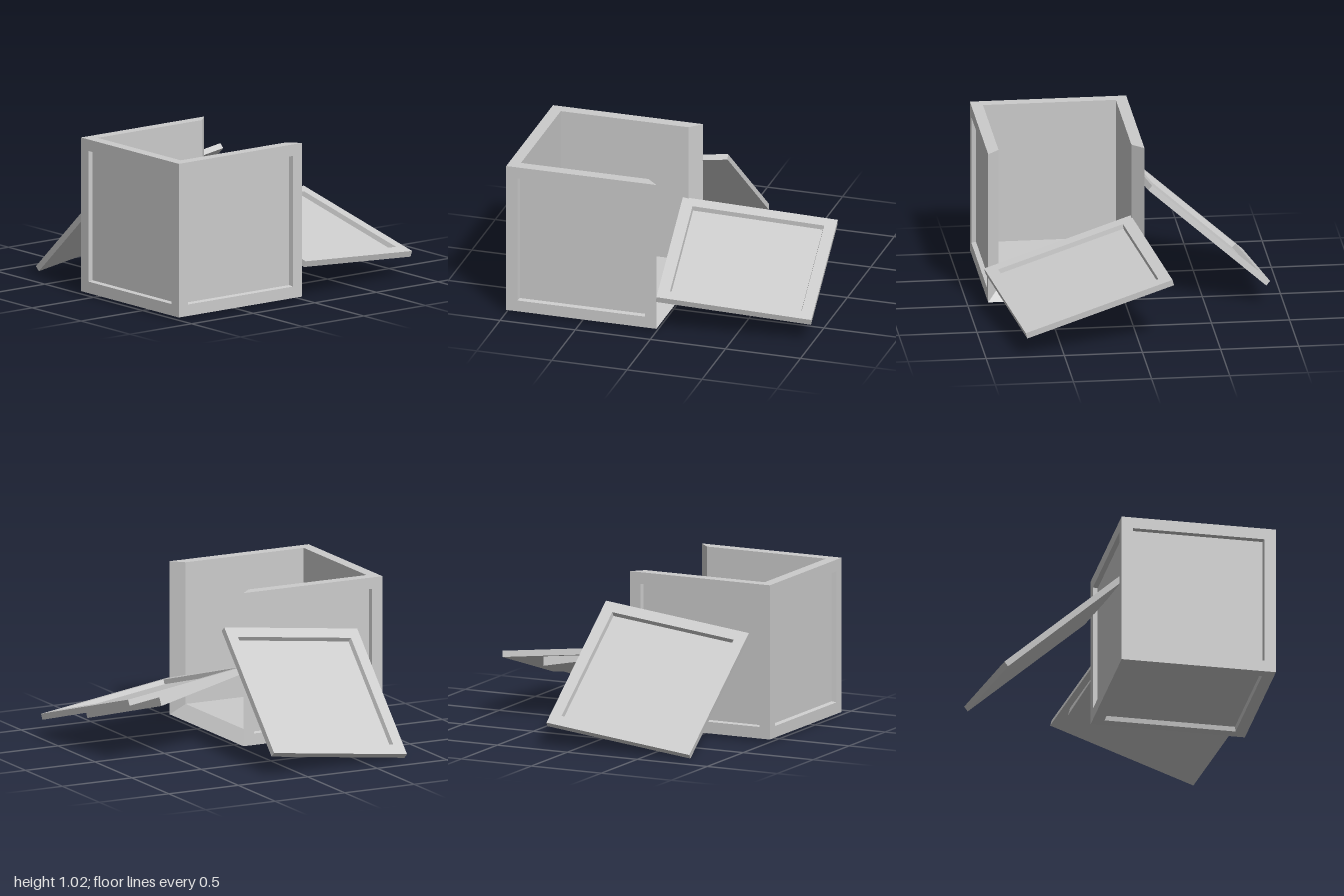
import * as THREE from 'three';

const mat = new THREE.MeshStandardMaterial({ color: 0xcccccc, flatShading: true, side: THREE.DoubleSide });

// Square framed board facing +y: four-sided lathe, outer face at y = 0, recessed middle.
// backHalf is the half width of its rear face, so a smaller value mitres the edges.
function boardGeometry(thickness, backHalf, squareTop) {
  const profile = [
    [0, -thickness], [backHalf, -thickness], [0.5, 0],
    [0.425, 0], [0.419, -0.03], [0, -0.03],
  ].map(([r, y]) => new THREE.Vector2(r * Math.SQRT2, y));
  const g = new THREE.LatheGeometry(profile, 4).rotateY(Math.PI / 4);
  if (squareTop) {
    // bring the rear upper edge (-z) level with the front one for a flat rim
    const p = g.attributes.position;
    for (let i = 0; i < p.count; i++) {
      if (p.getY(i) < -thickness + 0.001 && p.getZ(i) < -0.1) p.setZ(i, -0.5);
    }
  }
  const flat = g.toNonIndexed();
  flat.computeVertexNormals();
  return flat;
}

// Orient a part: local y along the outward normal, local z along "down".
function place(object, center, normal, down) {
  const y = new THREE.Vector3(...normal).normalize();
  const x = y.clone().cross(new THREE.Vector3(...down)).normalize();
  const z = x.clone().cross(y);
  object.quaternion.setFromRotationMatrix(new THREE.Matrix4().makeBasis(x, y, z));
  object.position.set(...center);
  return object;
}

function part(name, geometry) {
  const m = new THREE.Mesh(geometry, mat);
  m.name = name;
  return m;
}

export function createModel() {
  const model = new THREE.Group();
  model.name = 'brokenCrate';

  // standing crate, open at the top and on the +x side
  const crate = new THREE.Group();
  crate.name = 'crate';
  const center = [-0.5, 0.52, 0.37];
  const sides = [
    ['frontWall', [0, 0, 1], [0, -1, 0], true],
    ['backWall', [0, 0, -1], [0, -1, 0], true],
    ['rightWall', [-1, 0, 0], [0, -1, 0], true],
    ['floor', [0, -1, 0], [1, 0, 0], false],
  ];
  for (const [name, n, down, squareTop] of sides) {
    const at = center.map((c, i) => c + n[i] * 0.5);
    crate.add(place(part(name, boardGeometry(0.075, 0.425, squareTop)), at, n, down));
  }
  model.add(crate);

  // lid lying tilted beside the crate, with its lining hanging loose below
  const lid = new THREE.Group();
  lid.name = 'lid';
  lid.add(part('lidBoard', boardGeometry(0.04, 0.5, false)));
  const wedge = new THREE.Shape([
    new THREE.Vector2(-0.49, -0.038),
    new THREE.Vector2(0.236, -0.1),
    new THREE.Vector2(0.236, -0.038),
  ]);
  const lining = part('lidLining', new THREE.ExtrudeGeometry(wedge, { depth: 0.85, bevelEnabled: false }));
  lining.position.z = -0.46;
  lid.add(lining);
  model.add(place(lid, [0.44, 0.345, 0.345], [0.13, 0.95, 0.26], [0.12, -0.28, 0.95]));

  // side board leaning against the back of the crate
  const board = part('fallenSideBoard', boardGeometry(0.038, 0.5, false));
  model.add(place(board, [-0.32, 0.425, -0.505], [-0.137, 0.733, -0.652], [0.04, -0.66, -0.75]));

  return model;
}
